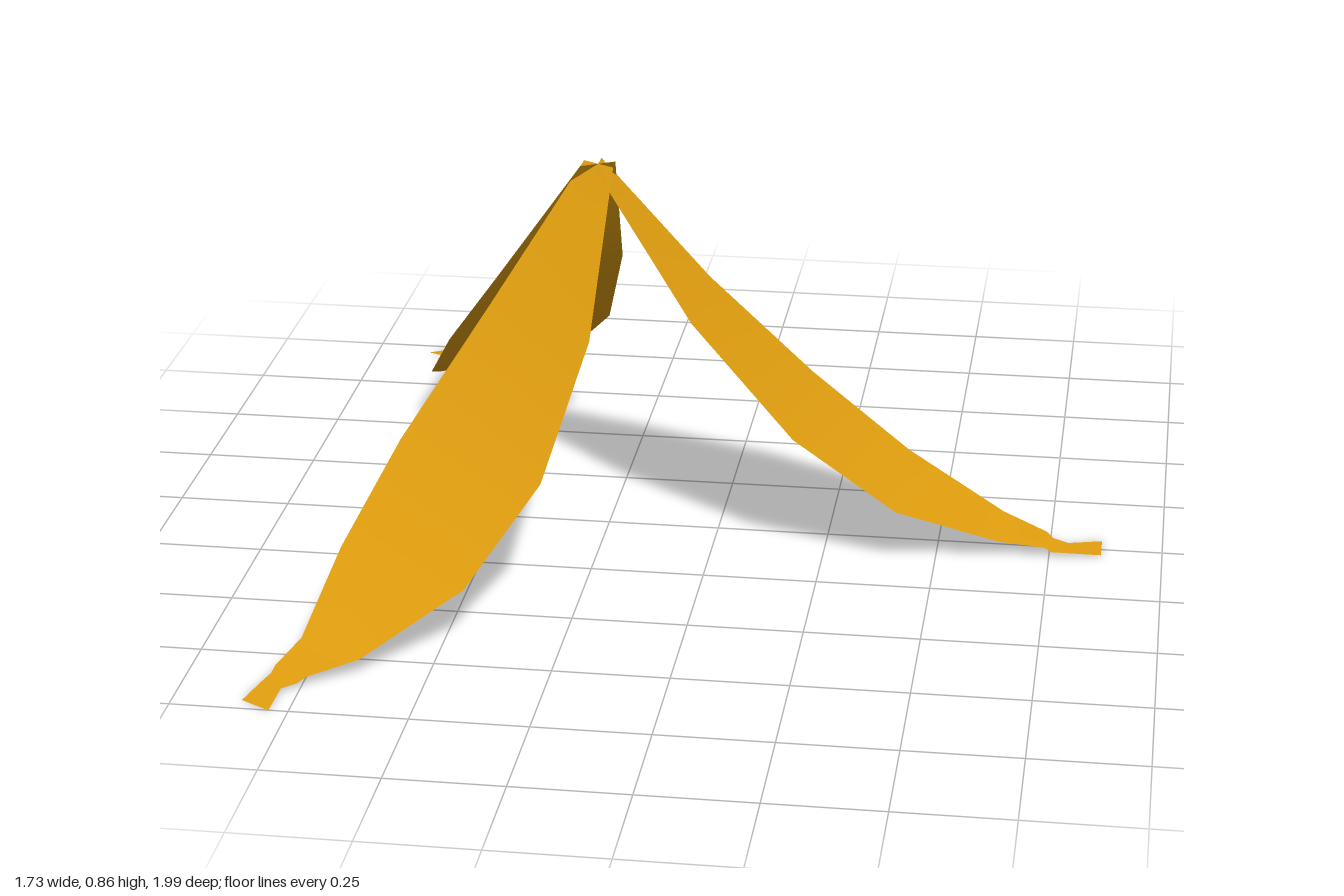
import * as THREE from 'three';

// Cross-sections from the crown outward: [radius, height, right edge z, left edge z]
const ROWS = [
  [0.0, 0.86, -0.042, 0.04],
  [0.225, 0.55, -0.155, 0.14],
  [0.455, 0.31, -0.207, 0.192],
  [0.68, 0.14, -0.182, 0.168],
  [0.905, 0.04, -0.09, 0.075],
  [1.005, 0.022, -0.033, 0.055],
  [1.022, 0.011, -0.023, 0.052],
  [1.055, 0.008, -0.008, 0.046],
  [1.13, 0.0, -0.045, 0.03],
];

// One thin strip, straight across and curved along its length
function petalGeometry() {
  const positions = [];
  const index = [];
  ROWS.forEach(([r, y, z0, z1], i) => {
    positions.push(r, y, z0, r, y, z1);
    if (i === 0) return;
    const a = (i - 1) * 2;
    index.push(a, a + 1, a + 2, a + 1, a + 3, a + 2);
  });
  const geometry = new THREE.BufferGeometry();
  geometry.setAttribute('position', new THREE.Float32BufferAttribute(positions, 3));
  geometry.setIndex(index);
  geometry.computeVertexNormals();
  return geometry;
}

export function createModel() {
  const model = new THREE.Group();
  model.name = 'peel';

  const peelYellow = new THREE.MeshStandardMaterial({ color: 0xe3a00f, side: THREE.DoubleSide });
  peelYellow.name = 'peelYellow';

  // Three strips fan out evenly from the crown
  const geometry = petalGeometry();
  ['leftStrip', 'backStrip', 'frontStrip'].forEach((name, i) => {
    const strip = new THREE.Mesh(geometry, peelYellow);
    strip.name = name;
    strip.rotation.y = (i * Math.PI * 2) / 3;
    strip.position.x = -0.265;
    model.add(strip);
  });

  return model;
}
